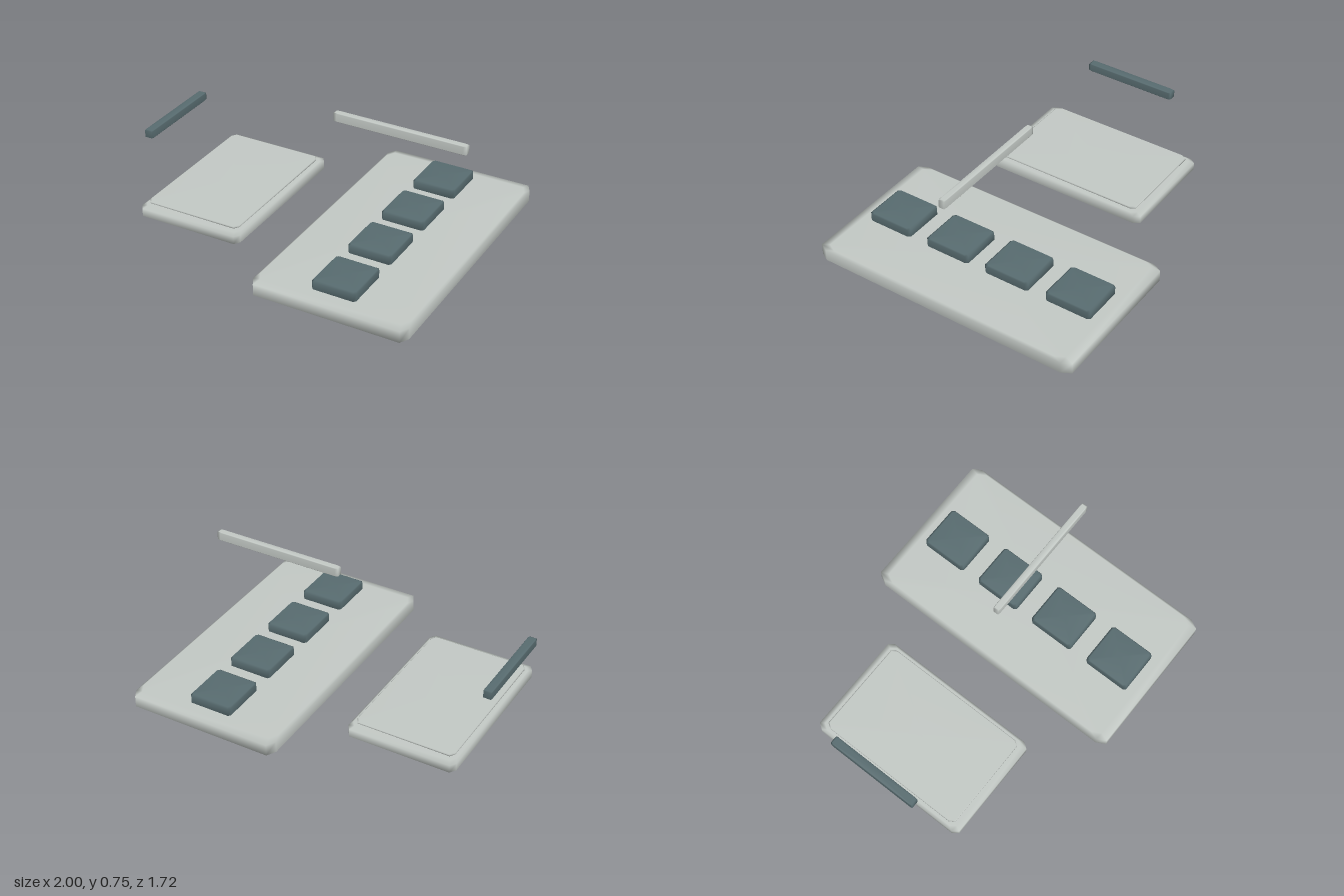
import * as THREE from 'three';

const lightGrey = new THREE.MeshStandardMaterial({ color: 0xc3c9c5 });
lightGrey.name = 'light grey';
const darkTeal = new THREE.MeshStandardMaterial({ color: 0x586c70 });
darkTeal.name = 'dark teal';

// Smooth slab: eight-sided plan (cut = corner size) with a soft bevel round both faces.
// Ranges are [min, max]; cut and inset are [x, z]; drop is the bevel height.
function slab(name, material, xr, yr, zr, cut, inset, drop) {
  const cx = (xr[0] + xr[1]) / 2, cz = (zr[0] + zr[1]) / 2;
  const hx = (xr[1] - xr[0]) / 2, hz = (zr[1] - zr[0]) / 2;
  const pos = [], index = [];
  const rings = [[yr[0], 1], [yr[0] + drop, 0], [yr[1] - drop, 0], [yr[1], 1]];
  for (const [y, k] of rings) {
    const a = hx - inset[0] * k, b = hz - inset[1] * k;
    const p = a - cut[0], q = b - cut[1];
    for (const [x, z] of [[a, q], [p, b], [-p, b], [-a, q], [-a, -q], [-p, -b], [p, -b], [a, -q]])
      pos.push(cx + x, y, cz + z);
  }
  pos.push(cx, yr[0], cz, cx, yr[1], cz);
  for (let i = 0; i < 8; i++) {
    const j = (i + 1) % 8;
    for (let r = 0; r < 3; r++) {
      const a = r * 8 + i, b = r * 8 + j;
      index.push(a, a + 8, b, b, a + 8, b + 8);
    }
    index.push(32, i, j, 33, 24 + j, 24 + i);
  }
  const g = new THREE.BufferGeometry();
  g.setAttribute('position', new THREE.Float32BufferAttribute(pos, 3));
  g.setIndex(index);
  g.computeVertexNormals();
  const mesh = new THREE.Mesh(g, material);
  mesh.name = name;
  return mesh;
}

export function createModel() {
  const model = new THREE.Group();
  model.name = 'panelSet';

  // Large base slab with four raised pads in a row
  model.add(slab('largeSlab', lightGrey, [0.05, 1], [0, 0.09], [-0.86, 0.855],
    [0.03, 0.055], [0.015, 0.05], 0.01));
  [-0.615, -0.207, 0.2, 0.61].forEach((z, i) => {
    model.add(slab('pad' + (i + 1), darkTeal, [0.385, 0.655], [0.088, 0.15], [z - 0.146, z + 0.146],
      [0.012, 0.015], [0.006, 0.012], 0.008));
  });

  // Small slab with a thin plate just above it
  model.add(slab('smallSlab', lightGrey, [-0.905, -0.23], [0.037, 0.105], [-0.525, 0.52],
    [0.025, 0.035], [0.015, 0.03], 0.01));
  model.add(slab('thinPlate', lightGrey, [-0.875, -0.262], [0.113, 0.127], [-0.477, 0.472],
    [0.02, 0.03], [0.004, 0.006], 0.003));

  // Floating bars
  model.add(slab('lightBar', lightGrey, [0.11, 0.93], [0.7, 0.755], [-0.022, 0.018],
    [0.02, 0.003], [0.008, 0.003], 0.004));
  model.add(slab('darkBar', darkTeal, [-1, -0.948], [0.43, 0.48], [-0.295, 0.29],
    [0.003, 0.012], [0.003, 0.008], 0.004));

  return model;
}
